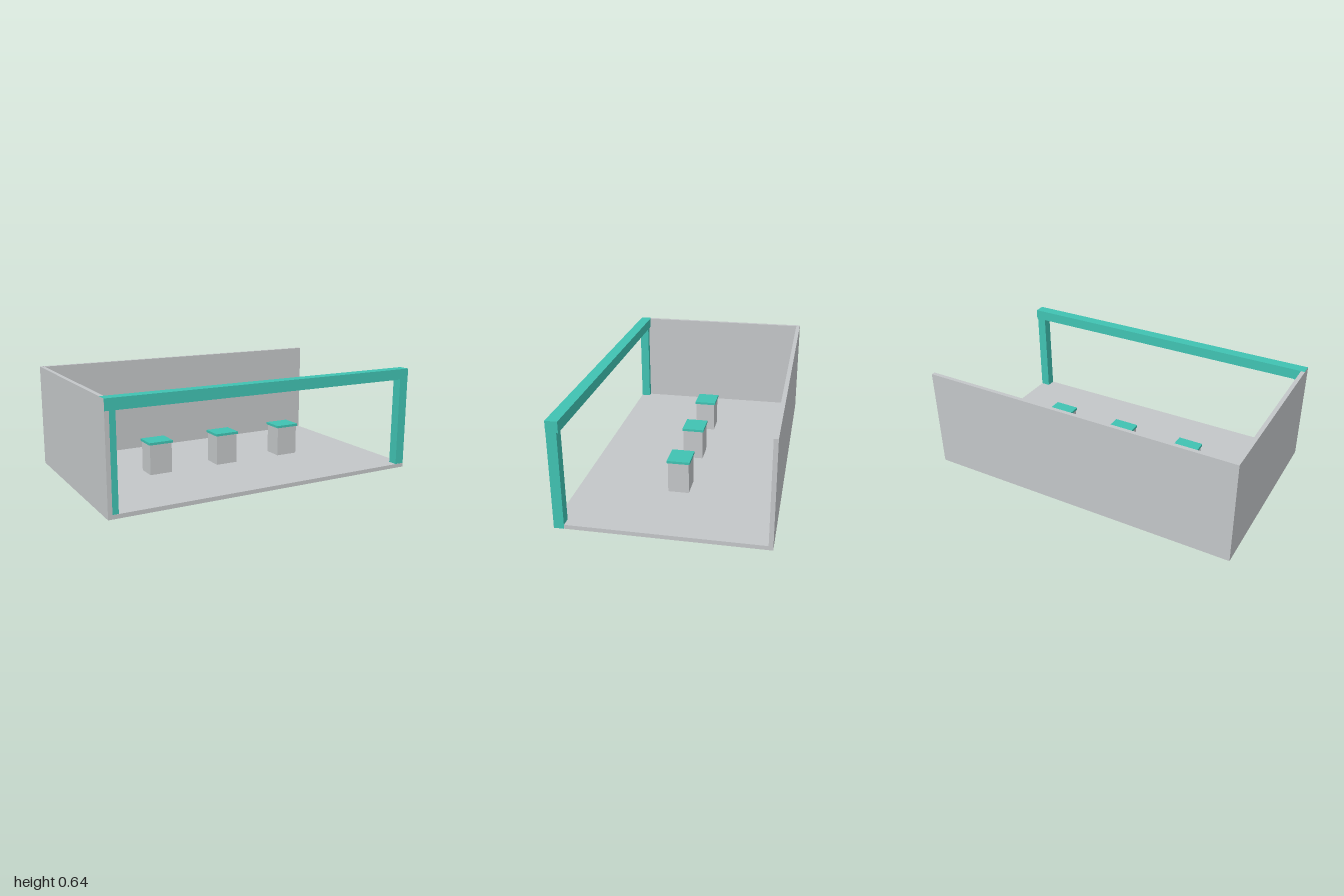
import * as THREE from 'three';

export function createModel() {
  const grey = new THREE.MeshStandardMaterial({ color: 0xc3c6c8 });
  grey.name = 'light grey';
  const teal = new THREE.MeshStandardMaterial({ color: 0x40c2b2 });
  teal.name = 'teal';

  const model = new THREE.Group();
  model.name = 'exhibitionStand';

  // Box given by its opposite corners
  function box(name, material, [x0, y0, z0], [x1, y1, z1], parent = model) {
    const mesh = new THREE.Mesh(new THREE.BoxGeometry(x1 - x0, y1 - y0, z1 - z0), material);
    mesh.position.set((x0 + x1) / 2, (y0 + y1) / 2, (z0 + z1) / 2);
    mesh.name = name;
    parent.add(mesh);
  }

  const e = 0.0005; // tiny inset so flush faces do not flicker
  const t = 0.025; // panel thickness

  // Floor and the two walls
  box('floor', grey, [-1, e, -0.6], [1 - e, t, 0.6]);
  box('backWall', grey, [-1, t, -0.6], [1, 0.64, -0.6 + t]);
  box('sideWall', grey, [-1, t, -0.6 + t], [-1 + t, 0.64 - e, 0.6 - e]);

  // Front frame: two posts and a beam
  box('leftPost', teal, [0.94, 0, 0.54], [1, 0.575, 0.6 - 2 * e]);
  box('rightPost', teal, [-1 + e, 0, 0.54], [-0.94, 0.575, 0.6 - 2 * e]);
  box('frontBeam', teal, [-1 + e, 0.575, 0.53], [1, 0.64, 0.6]);

  // Row of display plinths with overhanging tops
  for (const x of [-0.46, 0, 0.46]) {
    const plinth = new THREE.Group();
    plinth.name = 'plinth';
    plinth.position.x = x;
    box('plinthBody', grey, [-0.072, t, -0.062], [0.072, 0.213, 0.062], plinth);
    box('plinthTop', teal, [-0.078, 0.213, -0.068], [0.078, 0.228, 0.068], plinth);
    model.add(plinth);
  }

  return model;
}
